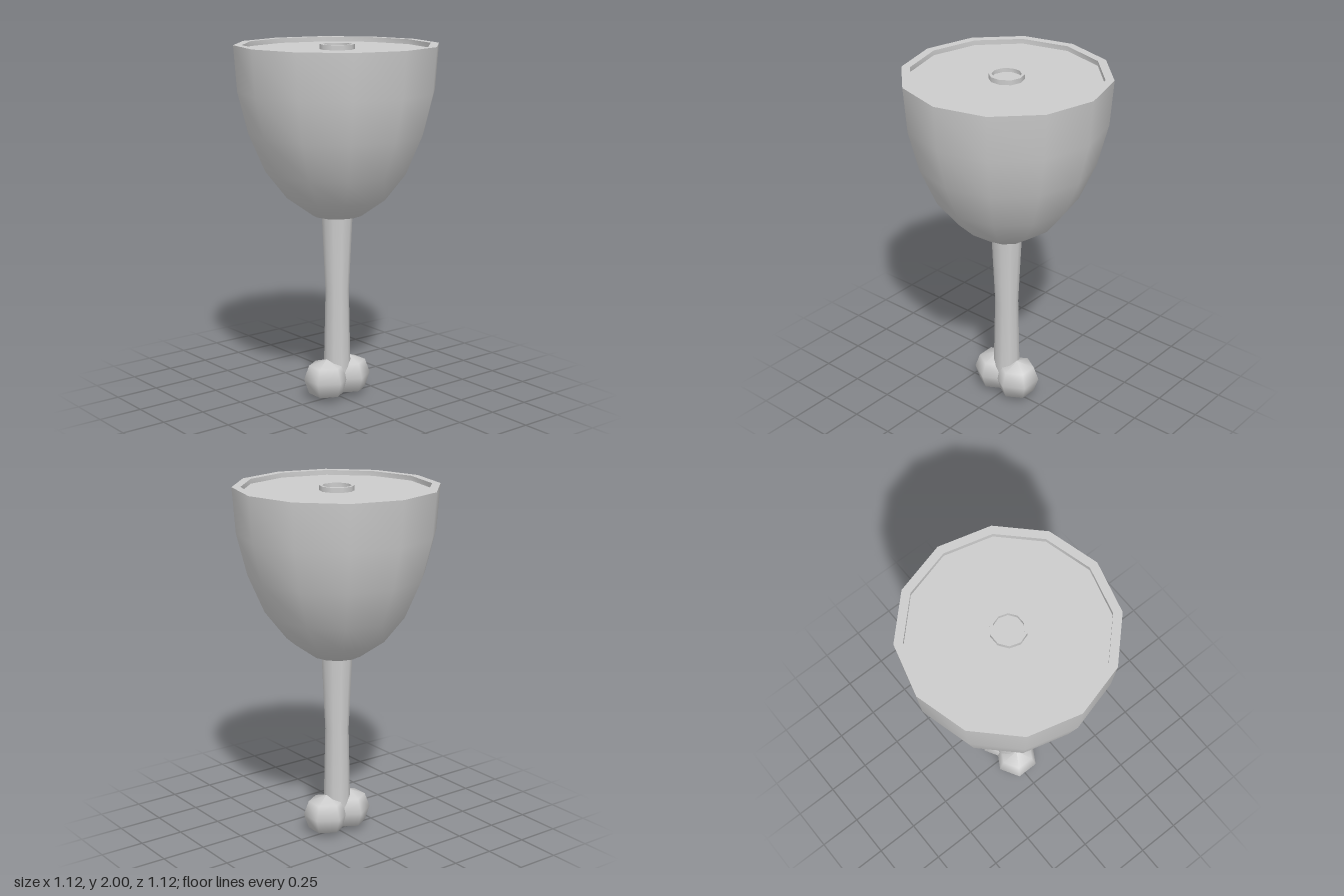
import * as THREE from 'three';
import { toCreasedNormals } from 'three/addons/utils/BufferGeometryUtils.js';

const material = new THREE.MeshStandardMaterial({ color: 0xcccccc });

// Turned part from a bottom-to-top profile of [radius, y] pairs
function turned(name, profile, sides, start = 0, crease = null) {
  const points = profile.map(([r, y]) => new THREE.Vector2(r, y));
  let geometry = new THREE.LatheGeometry(points, sides, start);
  if (crease !== null) geometry = toCreasedNormals(geometry, crease);
  const mesh = new THREE.Mesh(geometry, material);
  mesh.name = name;
  return mesh;
}

export function createModel() {
  const model = new THREE.Group();
  model.name = 'drumstick';

  // Meat: rounded body with a raised skin rim around the recessed cut face
  model.add(turned('meat', [
    [0, 1.035], [0.14, 1.06], [0.28, 1.16], [0.397, 1.31], [0.487, 1.52],
    [0.544, 1.75], [0.562, 2], [0.515, 2], [0.515, 1.973], [0, 1.973],
  ], 12, 0, 0.9));

  // Bone: waisted shaft running through the meat, with a hollowed cut end
  model.add(turned('bone', [
    [0, 0.1], [0.075, 0.1], [0.075, 0.2], [0.066, 0.62], [0.085, 1.04],
    [0.095, 1.9], [0.095, 2], [0.079, 2], [0.079, 1.978], [0, 1.978],
  ], 10, Math.PI / 2, 0.9));

  // Knuckles: two low-poly balls at the foot of the bone
  for (const side of [-1, 1]) {
    const knuckle = turned(side > 0 ? 'leftKnuckle' : 'rightKnuckle', [
      [0, -0.117], [0.1, -0.083], [0.128, 0], [0.1, 0.08], [0, 0.114],
    ], 6);
    knuckle.position.set(side * 0.077, 0.118, 0);
    model.add(knuckle);
  }

  return model;
}
